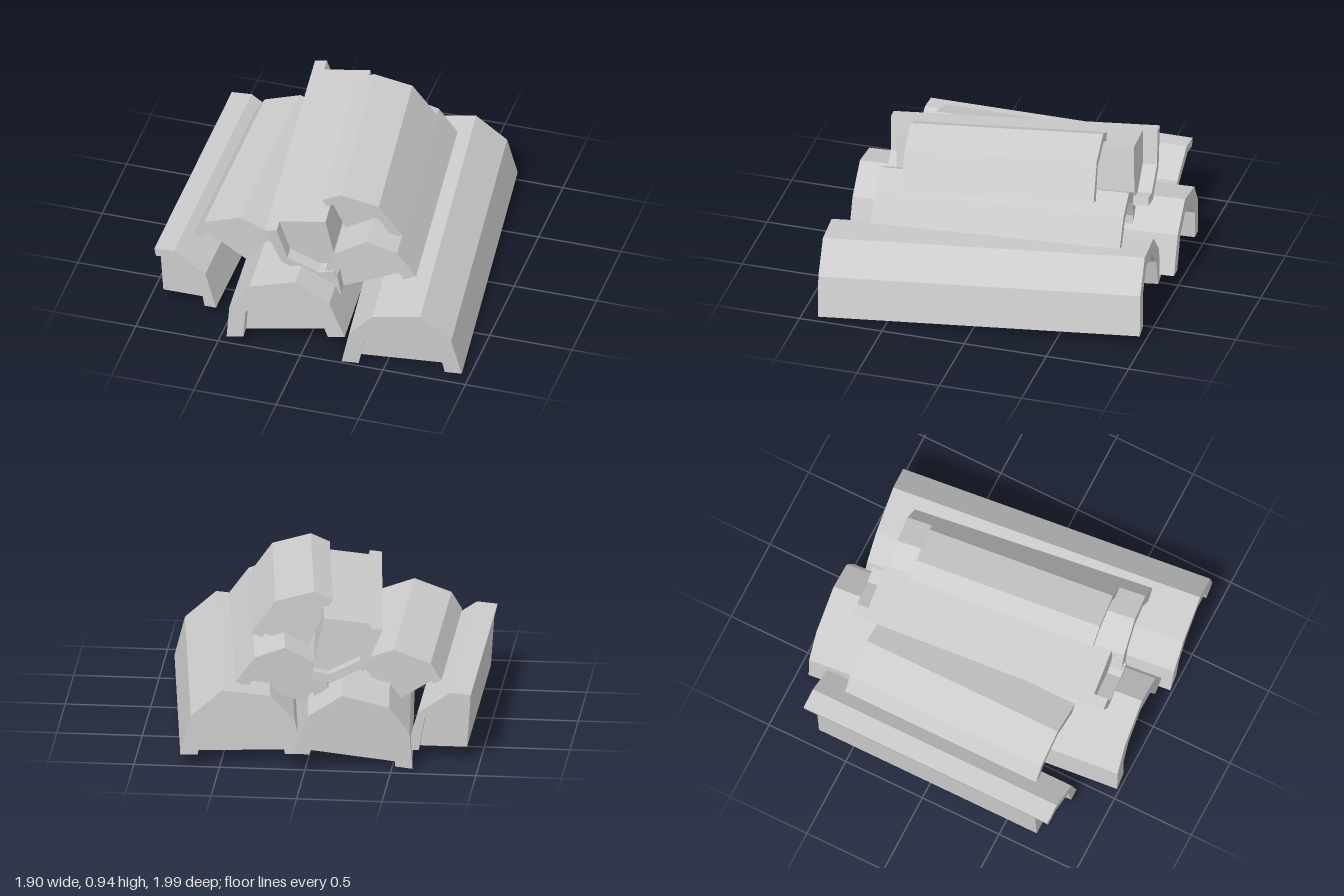
import * as THREE from 'three';

const material = new THREE.MeshStandardMaterial({ color: 0xcccccc, flatShading: true });

// Five-sided arch profile, origin at the middle of its base
const full = {
  outer: [[0.35, 0], [0.29, 0.235], [0.11, 0.39], [-0.17, 0.355], [-0.31, 0.21], [-0.355, 0]],
  inner: [[0.25, 0], [0.205, 0.205], [0.07, 0.31], [-0.12, 0.28], [-0.22, 0.17], [-0.255, 0]],
  base: [],
};
// Split half of the arch, origin at the corner of the two flat sides
const half = {
  outer: [[0.345, 0], [0.28, 0.23], [0.09, 0.36], [-0.03, 0.35]],
  inner: [[0.275, 0], [0.24, 0.2], [0.07, 0.31], [-0.02, 0.3]],
  base: [[0, 0]],
};

// Sweep an outline from its front position along a shift, ends square to the axis
function sweep(points, origin, shift, inset) {
  const shape = new THREE.Shape(points.map(([x, y]) => new THREE.Vector2(x, y)));
  const geometry = new THREE.ExtrudeGeometry(shape, { depth: 1, bevelEnabled: false });
  const [dx, dy, dz] = shift;
  const margin = inset / Math.hypot(dx, dy, dz);
  const pos = geometry.attributes.position;
  for (let i = 0; i < pos.count; i++) {
    const x = pos.getX(i), y = pos.getY(i);
    const t = margin + (1 - pos.getZ(i)) * (1 - 2 * margin);
    const skew = -(dx * x + dy * y) / dz;
    pos.setXYZ(i, origin[0] + x + dx * t, origin[1] + y + dy * t, origin[2] + skew + dz * t);
  }
  geometry.computeVertexNormals();
  return geometry;
}

// One log: bark shell with a wood core set back at both ends
function makeLog({ name, profile, origin, shift, roll = 0, scale = 1 }) {
  const a = THREE.MathUtils.degToRad(roll), c = Math.cos(a) * scale, s = Math.sin(a) * scale;
  const turn = (list) => list.map(([x, y]) => [x * c - y * s, x * s + y * c]);
  const outer = turn(profile.outer), inner = turn(profile.inner), base = turn(profile.base);
  const log = new THREE.Group();
  log.name = name;
  const bark = new THREE.Mesh(sweep([...outer, ...inner.slice().reverse()], origin, shift, 0), material);
  bark.name = 'bark';
  const core = new THREE.Mesh(sweep([...inner, ...base], origin, shift, 0.085), material);
  core.name = 'core';
  log.add(bark, core);
  return log;
}

const logs = [
  { name: 'bottomLeftSideLog', profile: full, origin: [0.6, 0.005, 0.945], shift: [-0.22, 0.065, -1.89] },
  { name: 'bottomMiddleLog', profile: full, origin: [-0.1, 0.09, 0.96], shift: [-0.17, -0.03, -1.925], roll: 8 },
  { name: 'bottomRightSideSplitLog', profile: half, origin: [-0.92, 0.08, 0.79], shift: [0, 0, -1.59] },
  { name: 'rightSideSplitLog', profile: half, origin: [-0.46, 0.27, 0.62], shift: [0, 0, -1.245], roll: 54 },
  { name: 'invertedSplitLog', profile: half, origin: [0.07, 0.765, 0.78], shift: [-0.16, 0.08, -1.57], roll: 187.5 },
  { name: 'upperLeftSideLog', profile: full, origin: [0.355, 0.38, 0.72], shift: [-0.18, -0.03, -1.46], roll: 22, scale: 0.78 },
  { name: 'topSplitLog', profile: half, origin: [0.16, 0.53, 0.57], shift: [-0.13, 0.045, -1.13], roll: 20 },
];

export function createModel() {
  const pile = new THREE.Group();
  pile.name = 'logPile';
  logs.forEach((log) => pile.add(makeLog(log)));
  return pile;
}
